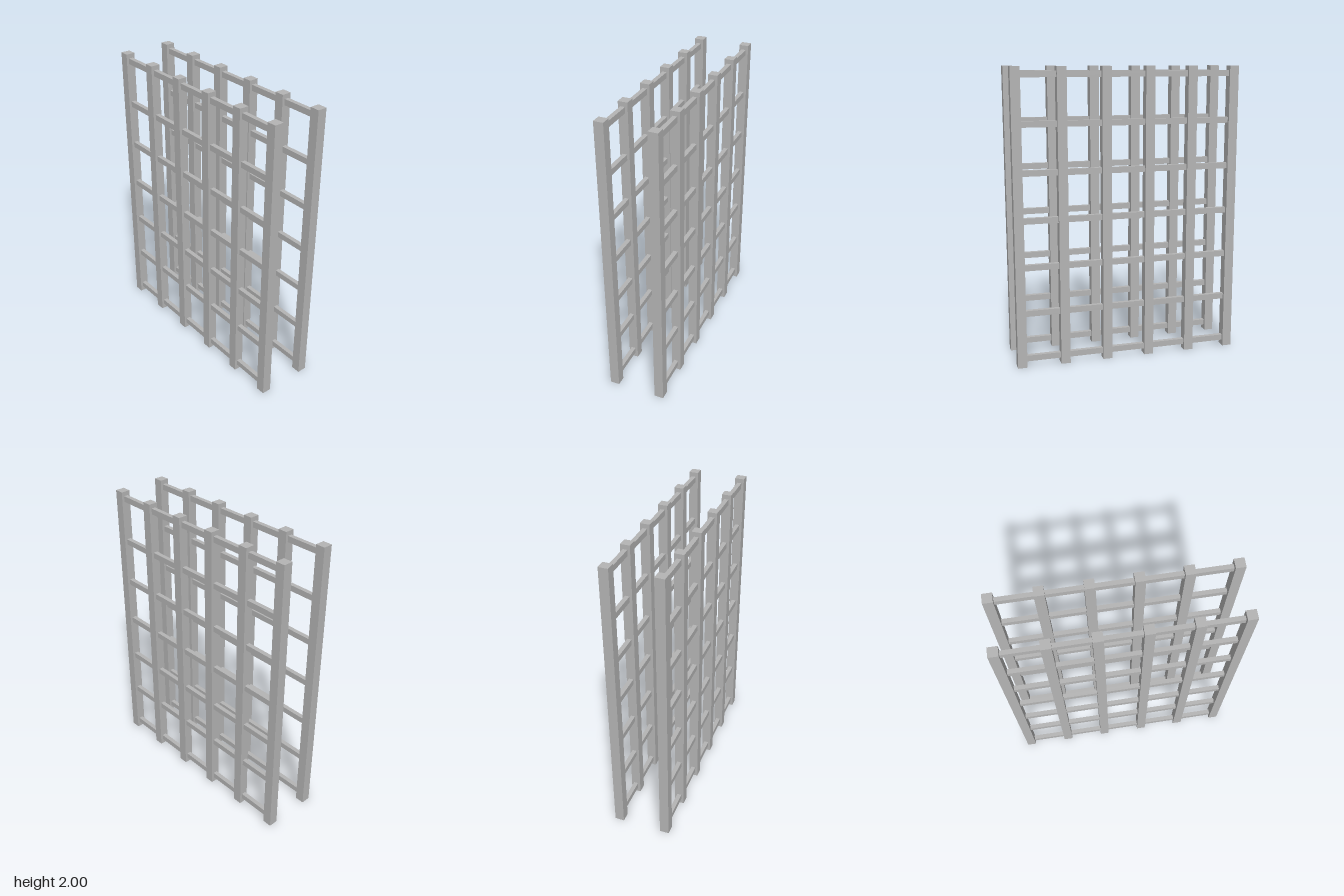
import * as THREE from 'three';

export function createModel() {
  const model = new THREE.Group();
  const grey = new THREE.MeshStandardMaterial({ color: 0xb4b4b4 });
  grey.name = 'grey';

  const postWidth = 0.064, postSpacing = 0.298, postCount = 6;
  const barSpacing = 0.3153, barCount = 7, lowestBar = 0.058;
  const outerX = postSpacing * (postCount - 1) / 2;
  const postGeometry = new THREE.BoxGeometry(postWidth, 2, postWidth);
  const barGeometry = new THREE.BoxGeometry(2 * outerX - postWidth, 0.04, 0.03);

  function add(group, name, geometry, x, y) {
    const mesh = new THREE.Mesh(geometry, grey);
    mesh.name = name;
    mesh.position.set(x, y, 0);
    group.add(mesh);
  }

  // One lattice panel: upright posts joined by thin crossbars
  function makePanel(name, z) {
    const panel = new THREE.Group();
    panel.name = name;
    panel.position.z = z;
    for (let i = 0; i < postCount; i++) {
      add(panel, 'post', postGeometry, i * postSpacing - outerX, 1);
    }
    for (let j = 0; j < barCount; j++) {
      add(panel, 'crossbar', barGeometry, 0, lowestBar + j * barSpacing);
    }
    return panel;
  }

  model.add(makePanel('frontPanel', 0.168), makePanel('backPanel', -0.168));
  return model;
}
